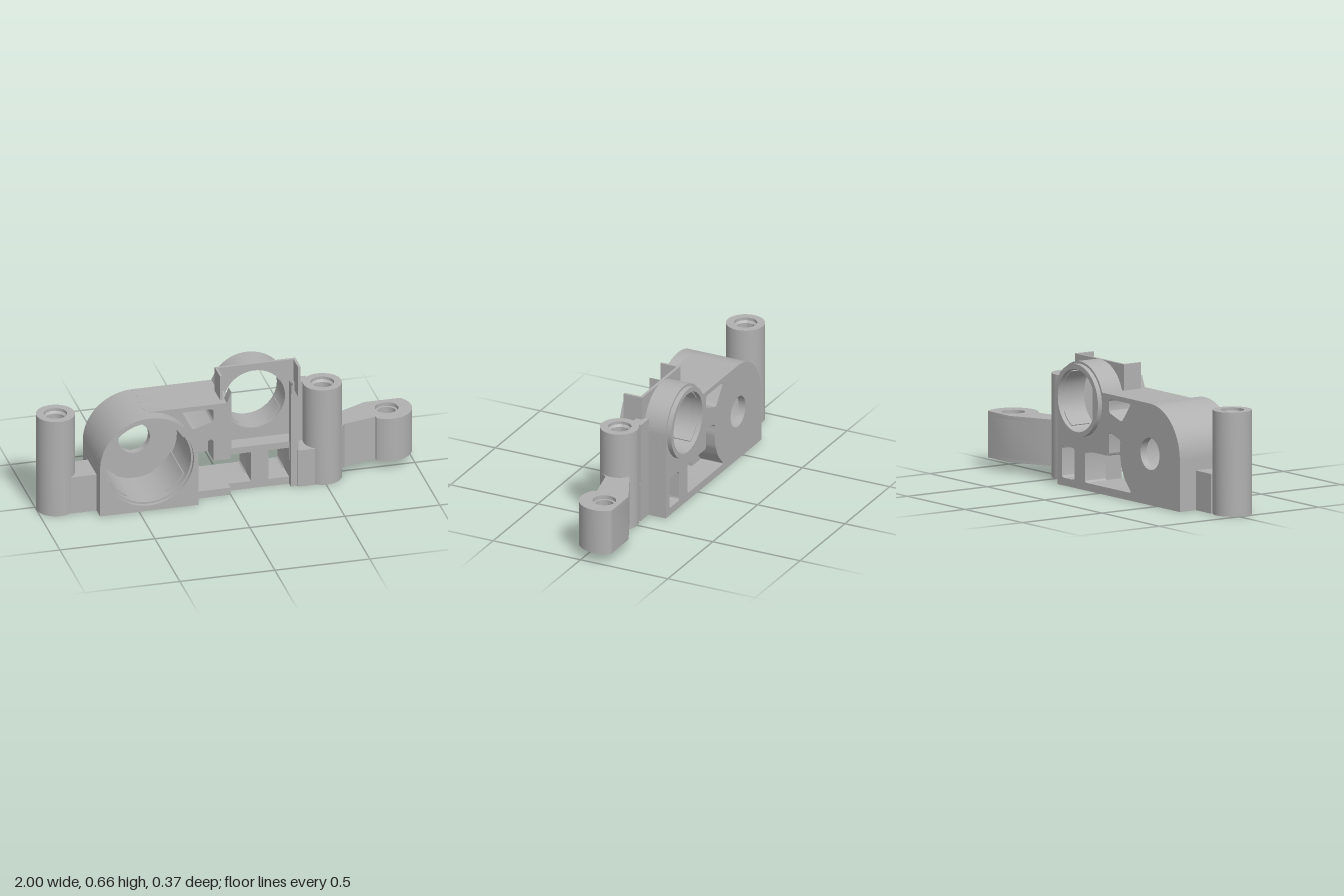
import * as THREE from 'three';
import { toCreasedNormals } from 'three/addons/utils/BufferGeometryUtils.js';

const PI = Math.PI;
const MOTOR = { x: -0.4465, y: 0.265, r: 0.2595, bore: 0.225 };
const RING = { x: 0.16, y: 0.46, r: 0.2, bore: 0.162 };

const poly = (pts) => new THREE.Shape(pts.map(([x, y]) => new THREE.Vector2(x, y)));

function circle(x, y, r) {
  const p = new THREE.Path();
  p.absarc(x, y, r, 0, PI * 2, false);
  return p;
}

// polygon with rounded corners, for windows
function rounded(pts, r = 0.018) {
  const p = new THREE.Path();
  const n = pts.length;
  const v = pts.map(([x, y]) => new THREE.Vector2(x, y));
  v.forEach((c, i) => {
    const a = v[(i + n - 1) % n], b = v[(i + 1) % n];
    const from = c.clone().add(a.clone().sub(c).setLength(r));
    const to = c.clone().add(b.clone().sub(c).setLength(r));
    if (i === 0) p.moveTo(from.x, from.y); else p.lineTo(from.x, from.y);
    p.quadraticCurveTo(c.x, c.y, to.x, to.y);
  });
  p.closePath();
  return p;
}

export function createModel() {
  const model = new THREE.Group();
  const grey = new THREE.MeshStandardMaterial({ color: 0xb0b0b0 });
  grey.name = 'plain grey';

  const add = (name, geo) => {
    const mesh = new THREE.Mesh(geo, grey);
    mesh.name = name;
    model.add(mesh);
    return mesh;
  };
  const extrude = (shape, depth) =>
    new THREE.ExtrudeGeometry(shape, { depth, bevelEnabled: false, curveSegments: 40 });
  // slab between two z values
  const slab = (name, shape, holes, z0, z1) => {
    shape.holes.push(...holes);
    return add(name, toCreasedNormals(extrude(shape, z1 - z0).translate(0, 0, z0), 0.5));
  };
  const box = (name, x0, x1, y0, y1, z0, z1) =>
    add(name, new THREE.BoxGeometry(x1 - x0, y1 - y0, z1 - z0)
      .translate((x0 + x1) / 2, (y0 + y1) / 2, (z0 + z1) / 2));

  // back plate: motor arch at one end, ring at the other
  const backOutline = () => {
    const s = new THREE.Shape();
    s.moveTo(-0.706, 0);
    s.lineTo(0.36, 0);
    s.absarc(RING.x, RING.y, RING.r, 0, PI - 0.331, false);
    s.lineTo(MOTOR.x, 0.525);
    s.absarc(MOTOR.x, MOTOR.y, MOTOR.r, PI / 2, PI, false);
    s.lineTo(-0.706, 0);
    return s;
  };
  const topWindow = () => rounded([[-0.28, 0.5], [-0.09, 0.5], [-0.09, 0.43], [-0.2, 0.395], [-0.235, 0.44]]);
  const lowWindow = () => rounded([[-0.285, 0.04], [0.12, 0.04], [0.12, 0.205], [-0.09, 0.205],
    [-0.09, 0.33], [-0.19, 0.3], [-0.182, 0.25], [-0.195, 0.17], [-0.225, 0.105]]);
  const smallWindow = () => rounded([[0.21, 0.04], [0.32, 0.04], [0.32, 0.205], [0.21, 0.205]]);
  const motorHole = (r) => circle(MOTOR.x, MOTOR.y, r);
  const windows = () => [topWindow(), lowWindow(), smallWindow(), circle(RING.x, RING.y, RING.bore)];
  slab('backWall', backOutline(), [motorHole(0.083), ...windows()], -0.16, -0.12);
  slab('backBody', backOutline(), [motorHole(MOTOR.bore), ...windows()], -0.12, -0.03);

  // front body: motor block and the web beside it
  const frontOutline = (notch) => {
    const s = poly([[-0.706, 0], [0, 0], [0, 0.04], [-0.187, 0.04],
      ...(notch ? [[-0.187, 0.3], [-0.1, 0.328], [-0.09, 0.315], [-0.09, 0.205]] : [[-0.187, 0.205]]),
      [0, 0.205], [0, 0.525], [MOTOR.x, 0.525]]);
    s.absarc(MOTOR.x, MOTOR.y, MOTOR.r, PI / 2, PI, false);
    s.lineTo(-0.706, 0);
    return s;
  };
  slab('webCore', frontOutline(false), [motorHole(MOTOR.bore), topWindow()], -0.03, 0);
  slab('frontBody', frontOutline(true), [motorHole(MOTOR.bore), topWindow()], 0, 0.115);

  // projecting motor collar with a wider mouth
  const arch = () => {
    const s = poly([[-0.706, 0], [-0.187, 0]]);
    s.absarc(MOTOR.x, MOTOR.y, MOTOR.r, 0, PI, false);
    s.lineTo(-0.706, 0);
    return s;
  };
  slab('motorCollar', arch(), [motorHole(MOTOR.bore)], 0.115, 0.165);
  slab('motorMouth', arch(), [motorHole(0.235)], 0.165, 0.185);

  // thin grip pads inside the round openings
  const pads = (name, c, r0, r1, z0, z1) => {
    for (let i = 0; i < 4; i++) {
      const a = PI / 4 + i * PI / 2;
      const s = new THREE.Shape();
      s.absarc(c.x, c.y, r1, a - 0.3, a + 0.3, false);
      s.absarc(c.x, c.y, r0, a + 0.3, a - 0.3, true);
      s.closePath();
      slab(name, s, [], z0, z1);
    }
  };
  pads('motorPad', MOTOR, 0.217, 0.228, -0.12, 0.13);
  pads('ringPad', RING, 0.157, 0.165, -0.16, -0.05);

  // ring lip at the back
  const lip = new THREE.Shape();
  lip.absarc(RING.x, RING.y, 0.188, 0, PI * 2, false);
  slab('ringLip', lip, [circle(RING.x, RING.y, RING.bore)], -0.185, -0.16);

  // bracket in front of the ring: plate and two wings
  slab('bracketPlate', poly([[-0.045, 0.24], [0.38, 0.24], [0.38, 0.66], [-0.045, 0.66]]),
    [circle(RING.x, RING.y, RING.bore)], -0.035, -0.02);
  box('rightWing', -0.045, -0.033, 0.24, 0.66, -0.034, 0.073);
  box('leftWing', 0.366, 0.38, 0.24, 0.66, -0.034, 0.073);

  // frame below the bracket
  box('baseRail', 0, 0.36, 0, 0.04, -0.03, 0.07);
  box('shelf', 0, 0.36, 0.205, 0.24, -0.03, 0.07);
  box('middleMullion', 0.12, 0.21, 0.04, 0.205, -0.03, 0.07);
  box('endMullion', 0.32, 0.36, 0.04, 0.205, -0.03, 0.07);

  // pointed clips either side of the bracket
  slab('rightClip', poly([[-0.03, 0.24], [0.004, 0.24], [0.004, 0.585], [-0.03, 0.5]]), [], 0.06, 0.115);
  slab('leftClip', poly([[0.32, 0], [0.36, 0], [0.36, 0.5], [0.322, 0.585]]), [], 0.06, 0.105);

  // screw pillars with chamfered bores
  for (const [name, x] of [['rightPillar', -0.9], ['leftPillar', 0.505]]) {
    const h = 0.537;
    const profile = [[0.048, 0.02], [0.06, 0], [0.1, 0], [0.1, h], [0.06, h], [0.06, h - 0.015],
      [0.048, h - 0.025], [0.048, 0.02]].map(([r, y]) => new THREE.Vector2(r, y));
    add(name, toCreasedNormals(new THREE.LatheGeometry(profile, 40), 0.5)).position.set(x, 0, 0.03);
  }

  // links from the body to the pillars
  box('rightLink', -0.84, -0.7, 0, 0.205, -0.06, 0.115);
  box('leftLink', 0.355, 0.445, 0, 0.205, -0.06, 0.115);
  box('leftWeb', 0.355, 0.44, 0.205, 0.537, -0.06, 0.0);

  // side arm ending in a boss with one flat side
  const armShape = (holeRadius) => {
    const s = poly([[0.56, 0.055], [0.575, -0.1], [0.615, -0.055], [0.79, -0.015]]);
    s.absarc(0.87, 0.07, 0.13, -2.23, 0.765, false);
    s.lineTo(0.776, 0.16);
    s.closePath();
    s.holes.push(circle(0.87, 0.07, holeRadius));
    return s;
  };
  for (const [name, r, y0, y1] of [['armBottom', 0.06, 0.055, 0.07], ['arm', 0.047, 0.07, 0.275], ['armTop', 0.06, 0.275, 0.295]]) {
    add(name, toCreasedNormals(extrude(armShape(r), y1 - y0).rotateX(-PI / 2).translate(0, y0, 0), 0.5));
  }

  return model;
}
